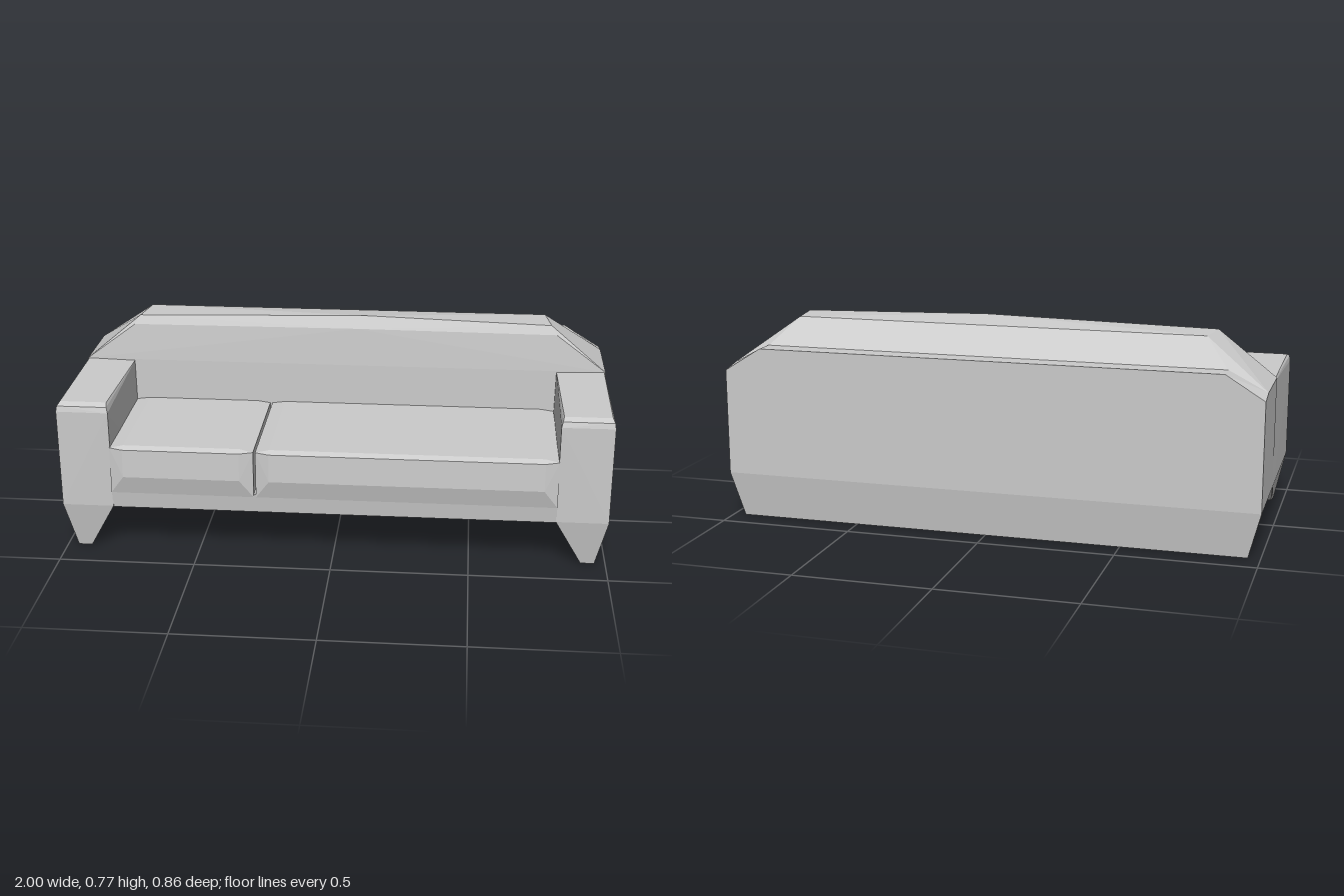
import * as THREE from 'three';
import { ConvexGeometry } from 'three/addons/geometries/ConvexGeometry.js';

const material = new THREE.MeshStandardMaterial({ color: 0xcccccc, flatShading: true });

// Faceted solid spanning the given corner points
function solid(name, points) {
  const mesh = new THREE.Mesh(new ConvexGeometry(points.map(p => new THREE.Vector3(...p))), material);
  mesh.name = name;
  return mesh;
}

// Adds the x-mirrored copy of every corner
const mirrored = points => points.flatMap(([x, y, z]) => [[x, y, z], [-x, y, z]]);

// Armrest with its tapered front foot; side is +1 (left) or -1 (right)
function arm(name, side) {
  return solid(name, [
    [0.815, 0.575, -0.085], [0.995, 0.58, -0.085], [0.998, 0.572, -0.085],
    [0.82, 0.58, 0.38], [0.99, 0.58, 0.38],
    [0.815, 0.57, 0.405], [0.997, 0.57, 0.405],
    [0.81, 0.55, 0.412], [1, 0.55, 0.41],
    [0.81, 0.18, 0.405], [1, 0.18, 0.405],
    [0.81, 0.18, -0.085], [1, 0.175, -0.085],
    [0.91, 0, 0.37], [0.96, 0, 0.37],
    [0.92, 0, 0.33], [0.955, 0, 0.33],
  ].map(([x, y, z]) => [x * side, y, z]));
}

// Seat cushion between x0 and x1 with a softly bulging front
function cushion(name, x0, x1) {
  const inset = 0.05;
  return solid(name, [x0, x1].flatMap((x, i) => {
    const inner = x + (i ? -inset : inset);
    return [
      [x, 0.24, -0.09], [x, 0.415, -0.09], [x, 0.24, 0.414],
      [x, 0.416, 0.412], [inner, 0.425, 0.405], [inner, 0.422, -0.09],
      [inner, 0.415, 0.428], [inner, 0.31, 0.432],
    ];
  }));
}

export function createModel() {
  const sofa = new THREE.Group();
  sofa.name = 'sofa';

  // Arms
  sofa.add(arm('leftArm', 1), arm('rightArm', -1));

  // Seat base and two unequal cushions
  sofa.add(solid('seatBase', mirrored([
    [0.812, 0.176, -0.2], [0.812, 0.25, -0.2],
    [0.812, 0.176, 0.402], [0.812, 0.25, 0.412],
  ])));
  sofa.add(cushion('rightCushion', -0.812, -0.286), cushion('leftCushion', -0.278, 0.812));

  // Backrest with sloping ends and a slightly raised front ridge
  sofa.add(solid('backrest', [
    ...mirrored([
      [1, 0.175, -0.085], [1, 0.17, -0.352], [1, 0.58, -0.085], [1, 0.58, -0.352],
      [0.81, 0.72, -0.097], [0.79, 0.752, -0.115],
      [0.77, 0.75, -0.255], [0.86, 0.65, -0.352],
    ]),
    [0.08, 0.77, -0.122], [0.05, 0.725, -0.095],
  ]));

  // Full-width rear panel, tapering to the floor
  sofa.add(solid('rearPanel', mirrored([
    [1, 0.17, -0.35], [1, 0.17, -0.43], [1, 0.58, -0.35], [1, 0.565, -0.43],
    [0.86, 0.652, -0.35], [0.86, 0.652, -0.43],
    [0.955, 0, -0.362], [0.955, 0, -0.405],
  ])));

  return sofa;
}
